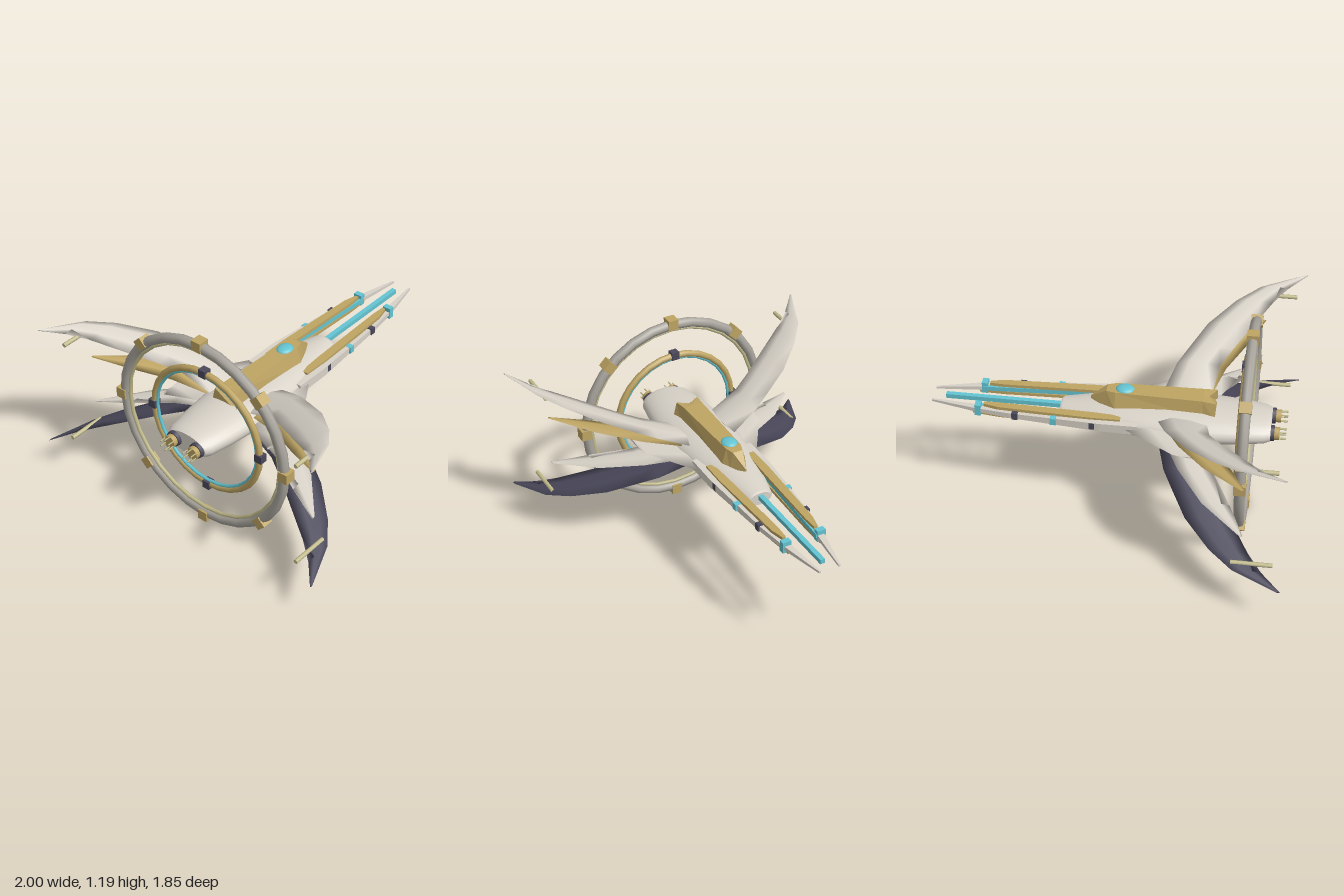
import * as THREE from 'three';

const CY = 0.603; // height of the long axis
const mat = (name, color) => {
  const m = new THREE.MeshStandardMaterial({ color });
  m.name = name;
  return m;
};

// Skin through equal-length loops of [x, y, z], with closed ends, always facing outward
function loft(loops, smooth = false) {
  const n = loops[0].length, pos = [], idx = [];
  loops.forEach(l => l.forEach(p => pos.push(...p)));
  for (let i = 0; i < loops.length - 1; i++)
    for (let j = 0; j < n; j++) {
      const a = i * n + j, b = i * n + (j + 1) % n;
      idx.push(a, b, a + n, b, b + n, a + n);
    }
  [loops[0], loops[loops.length - 1]].forEach((l, end) => {
    const base = pos.length / 3;
    l.forEach(p => pos.push(...p));
    for (let j = 1; j < n - 1; j++)
      end ? idx.push(base, base + j, base + j + 1) : idx.push(base, base + j + 1, base + j);
  });
  const v = k => new THREE.Vector3().fromArray(pos, k * 3).sub(new THREE.Vector3(...loops[0][0]));
  let volume = 0;
  for (let i = 0; i < idx.length; i += 3) volume += v(idx[i]).dot(v(idx[i + 1]).cross(v(idx[i + 2])));
  if (volume < 0) idx.reverse();
  let g = new THREE.BufferGeometry();
  g.setAttribute('position', new THREE.Float32BufferAttribute(pos, 3));
  g.setIndex(idx);
  if (!smooth) g = g.toNonIndexed();
  g.computeVertexNormals();
  return g;
}

// Wing from stations [z, leading x, trailing x, y, half thickness]
function wing(stations, side, mirrorY) {
  return loft(stations.map(([z, lead, trail, y, t]) => {
    const c = lead - trail, yy = mirrorY ? 2 * CY - y : y;
    return [
      [lead, yy, z * side], [lead - c * 0.3, yy + t, z * side], [lead - c * 0.7, yy + t * 0.7, z * side],
      [trail, yy, z * side], [lead - c * 0.7, yy - t * 0.7, z * side], [lead - c * 0.3, yy - t, z * side],
    ];
  }), true);
}

// Rectangular beam from stations [x, z inner, z outer, y low, y high]
const beam = (stations, side) => loft(stations.map(([x, a, b, lo, hi]) =>
  [[x, lo, a * side], [x, lo, b * side], [x, hi, b * side], [x, hi, a * side]]));

export function createModel() {
  const ivory = mat('ivory hull', 0xd8d2c8), gold = mat('gold', 0xbfa564);
  const navy = mat('dark navy', 0x4a485a), teal = mat('teal glow', 0x64c4d2);
  const metal = mat('grey metal', 0xa8a49c), pale = mat('pale gold', 0xc4bd8e);
  const model = new THREE.Group();
  model.name = 'ringedShip';
  const add = (name, geo, m, x = 0, y = 0, z = 0) => {
    const mesh = new THREE.Mesh(geo, m);
    mesh.name = name;
    mesh.position.set(x, y, z);
    model.add(mesh);
    return mesh;
  };
  const rod = (r, len, sides = 8, r2 = r) => new THREE.CylinderGeometry(r2, r, len, sides).rotateZ(-Math.PI / 2);

  // Fuselage: elliptical stations [x, half width, half height]
  const hull = [[-0.875, 0.13, 0.062], [-0.84, 0.15, 0.075], [-0.7, 0.175, 0.085], [-0.5, 0.197, 0.092],
    [-0.3, 0.195, 0.094], [-0.1, 0.168, 0.085], [0.1, 0.122, 0.066], [0.27, 0.078, 0.046], [0.285, 0.065, 0.038]];
  add('fuselage', loft(hull.map(([x, w, h]) => Array.from({ length: 28 }, (_, i) => {
    const a = i / 28 * Math.PI * 2;
    return [x, CY + Math.sin(a) * h, Math.cos(a) * w];
  })), true), ivory);
  add('noseLance', new THREE.BoxGeometry(0.66, 0.026, 0.028), teal, 0.6, 0.615, 0);

  // Dorsal cabin with a swept-back tail and a pointed front
  const cabin = [[-0.57, 0.09, 0.066, 0.755], [-0.5, 0.076, 0.058, 0.76], [-0.02, 0.074, 0.045, 0.76],
    [0.03, 0.05, 0.03, 0.758], [0.12, 0.004, 0.002, 0.695]];
  add('dorsalCabin', loft(cabin.map(([x, b, t, top], i) => {
    const keel = i === 4 ? 0.68 : 0.66, notch = i === 0 ? 0.04 : 0;
    return [[x, keel, b], [x, top, t], [x + notch, top, 0], [x, top, -t], [x, keel, -b], [x + notch, keel, 0]];
  })), gold);
  add('canopy', new THREE.SphereGeometry(1, 20, 12).scale(0.052, 0.02, 0.045), teal, -0.07, 0.757, 0);

  // Big outer ring and smaller inner ring standing across the tail
  const ring = (name, r, tube, m, x, sides = 8) =>
    add(name, new THREE.TorusGeometry(r, tube, sides, 28).rotateY(Math.PI / 2), m, x, CY, 0);
  ring('outerRing', 0.552, 0.029, metal, -0.747);
  ring('outerRingLiner', 0.52, 0.011, pale, -0.747, 6);
  ring('innerRing', 0.366, 0.019, gold, -0.72);
  ring('innerRingGlow', 0.347, 0.01, teal, -0.72, 6);
  const ringBlocks = (name, count, r, size, m, x) => {
    for (let i = 0; i < count; i++) {
      const a = i / count * Math.PI * 2;
      const b = add(name, new THREE.BoxGeometry(...size), m, x, CY + Math.cos(a) * r, Math.sin(a) * r);
      b.rotation.x = a;
    }
  };
  ringBlocks('outerRingBlock', 8, 0.563, [0.065, 0.06, 0.06], gold, -0.747);
  ringBlocks('innerRingBlock', 4, 0.37, [0.045, 0.046, 0.046], navy, -0.72);

  // Wing outlines for the upper half; the lower half mirrors them
  const bigWing = [[0.12, -0.26, -0.53, 0.655, 0.026], [0.31, -0.32, -0.56, 0.735, 0.022],
    [0.42, -0.38, -0.62, 0.777, 0.019], [0.57, -0.465, -0.715, 0.837, 0.016], [0.73, -0.61, -0.815, 0.9, 0.012],
    [0.83, -0.74, -0.895, 0.938, 0.009], [0.925, -0.98, -1.0, 0.975, 0.004]];
  const smallWing = [[0.12, -0.28, -0.52, 0.64, 0.018], [0.36, -0.4, -0.59, 0.682, 0.014],
    [0.57, -0.55, -0.7, 0.722, 0.009], [0.765, -0.765, -0.785, 0.755, 0.003]];
  const sideFin = [[0.12, -0.02, -0.55, 0.62, 0.016], [0.19, -0.1, -0.58, 0.62, 0.014],
    [0.36, -0.37, -0.655, 0.62, 0.009], [0.372, -0.42, -0.662, 0.62, 0.006]];

  for (const s of [1, -1]) {
    const side = s > 0 ? 'Near' : 'Far';
    add('upperWing' + side, wing(bigWing, s, false), ivory);
    add('lowerWing' + side, wing(bigWing, s, true), navy);
    add('upperBlade' + side, wing(smallWing, s, false), gold);
    add('lowerBlade' + side, wing(smallWing, s, true), ivory);
    add('sideFin' + side, wing(sideFin, s, false), ivory);
    for (const y of [0.912, 2 * CY - 0.918]) add('wingTipRod' + side, rod(0.012, 0.22), pale, -0.84, y, s * 0.79);

    // Forward prong: core beam, gold rails above and below, glowing inner strip
    add('prong' + side, beam([[-0.16, 0.14, 0.182, 0.59, 0.645], [0.05, 0.13, 0.184, 0.595, 0.645],
      [0.55, 0.1, 0.147, 0.604, 0.635], [0.75, 0.08, 0.118, 0.606, 0.63], [1.0, 0.052, 0.063, 0.61, 0.622]], s), ivory);
    for (const [lo, hi, end] of [[0.638, 0.656, 0.7], [0.588, 0.606, 0.76]])
      add('prongRail' + side, beam([[-0.06, 0.108, 0.148, lo, hi], [0.1, 0.098, 0.15, lo, hi],
        [0.62, 0.082, 0.125, lo, hi], [end, 0.086, 0.106, lo, hi]], s), gold);
    add('prongGlow' + side, beam([[0.1, 0.108, 0.135, 0.608, 0.636], [0.74, 0.074, 0.09, 0.608, 0.634]], s), teal);
    [[0.09, 0.163], [0.305, 0.155], [0.52, 0.138], [0.73, 0.104]].forEach(([x, z], i) =>
      add('prongClamp' + side, new THREE.BoxGeometry(0.033, i === 3 ? 0.066 : 0.04, i === 3 ? 0.05 : 0.038),
        i % 2 ? teal : navy, x, 0.622, s * z));

    // Engine: dark collar, gold nozzle, thin pins
    add('engineCollar' + side, rod(0.043, 0.07, 12, 0.05), navy, -0.86, CY, s * 0.078);
    add('engineNozzle' + side, rod(0.036, 0.045, 12), gold, -0.9, CY, s * 0.078);
    for (let i = 0; i < 6; i++) {
      const a = (i + 0.5) / 6 * Math.PI * 2;
      add('enginePin' + side, rod(0.004, 0.05, 5), pale, -0.935, CY + Math.sin(a) * 0.031, s * 0.078 + Math.cos(a) * 0.031);
    }
  }
  return model;
}
